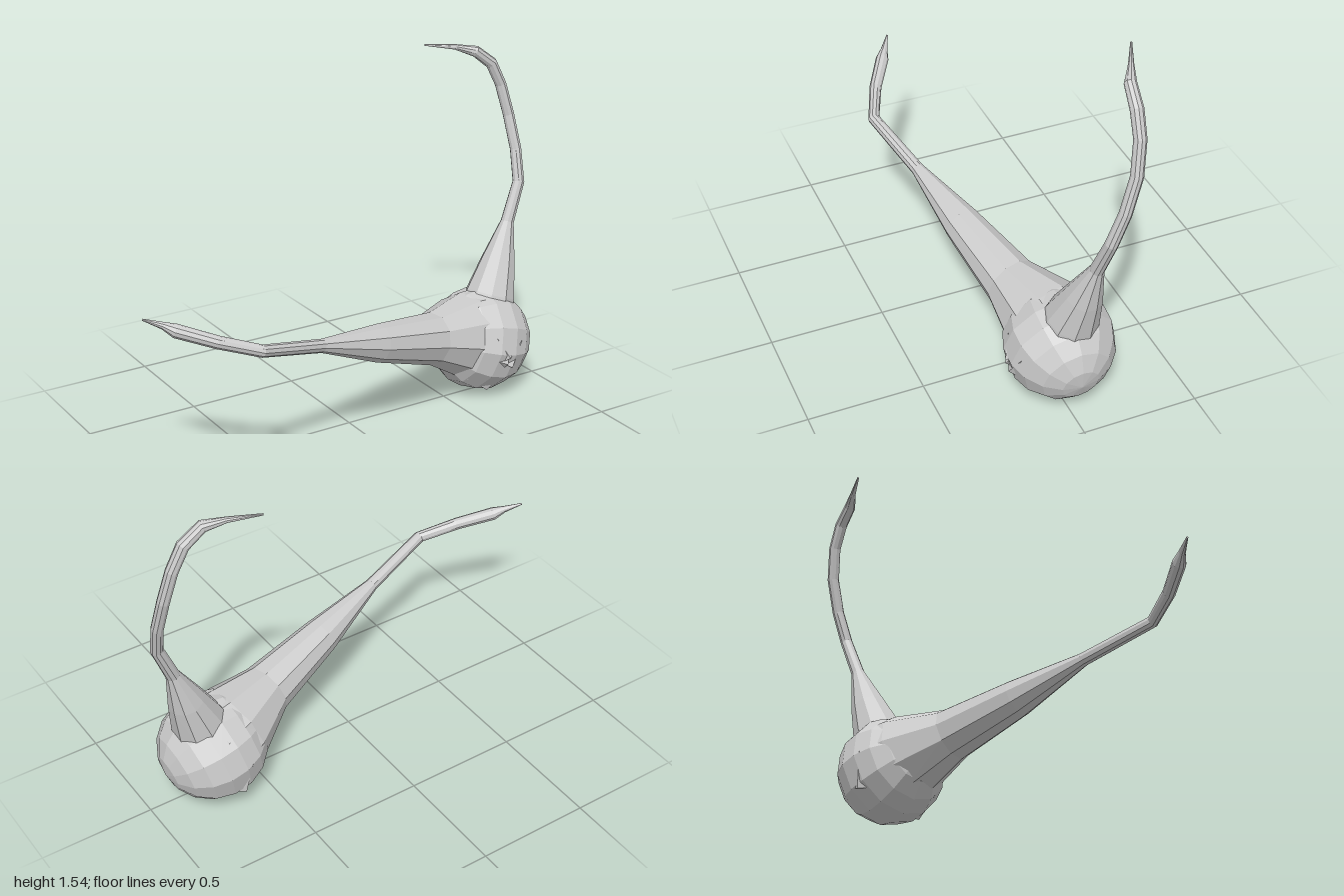
import * as THREE from 'three';

const material = new THREE.MeshStandardMaterial({ color: 0xcccccc, flatShading: true, side: THREE.DoubleSide });

// Lofts round cross-sections [x, y, z, radius] along a path, with rings square to the path.
function loft(name, rows, sides) {
  const centers = rows.map(r => new THREE.Vector3(r[0], r[1], r[2]));
  const positions = [], index = [];
  const normal = new THREE.Vector3(0, 0, 1);
  rows.forEach((row, i) => {
    const a = centers[Math.max(i - 1, 0)], b = centers[Math.min(i + 1, rows.length - 1)];
    const tangent = b.clone().sub(a).normalize();
    normal.addScaledVector(tangent, -normal.dot(tangent)).normalize();
    const binormal = tangent.clone().cross(normal);
    for (let j = 0; j < sides; j++) {
      const t = (j / sides) * Math.PI * 2;
      const p = centers[i].clone()
        .addScaledVector(normal, Math.cos(t) * row[3])
        .addScaledVector(binormal, Math.sin(t) * row[3]);
      positions.push(p.x, p.y, p.z);
      if (i < rows.length - 1) {
        const k = i * sides + j, n = i * sides + (j + 1) % sides;
        index.push(k, n, k + sides, n, n + sides, k + sides);
      }
    }
  });
  // closed tip
  const last = (rows.length - 1) * sides;
  for (let j = 1; j < sides - 1; j++) index.push(last, last + j, last + j + 1);
  const geometry = new THREE.BufferGeometry();
  geometry.setAttribute('position', new THREE.Float32BufferAttribute(positions, 3));
  geometry.setIndex(index);
  geometry.computeVertexNormals();
  const mesh = new THREE.Mesh(geometry, material);
  mesh.name = name;
  return mesh;
}

export function createModel() {
  const group = new THREE.Group();
  group.name = 'tendrilCreature';
  const center = new THREE.Vector3(0.70, 0.236, -0.02);

  // Round body, its poles lined up with the long tendril
  const body = new THREE.Mesh(new THREE.SphereGeometry(0.234, 12, 9), material);
  body.name = 'body';
  body.position.copy(center);
  body.rotation.z = Math.PI / 2 - 0.25;
  group.add(body);

  // Long tendril: thick root, thin bend and pointed end
  group.add(loft('longTendril', [
    [0.70, 0.245, -0.02, 0.222],
    [0.59, 0.280, -0.005, 0.190],
    [0.38, 0.335, 0.060, 0.116],
    [0.05, 0.422, 0.140, 0.082],
    [-0.27, 0.515, 0.218, 0.029],
    [-0.59, 0.600, 0.302, 0.026],
    [-0.75, 0.650, 0.235, 0.027],
    [-0.89, 0.700, 0.150, 0.029],
    [-0.93, 0.722, 0.125, 0.015],
    [-0.998, 0.748, 0.085, 0.004],
  ], 10));

  // Upright tendril curling over at the top
  group.add(loft('uprightTendril', [
    [0.75, 0.36, -0.035, 0.125],
    [0.775, 0.43, -0.04, 0.112],
    [0.828, 0.57, -0.06, 0.078],
    [0.888, 0.74, -0.08, 0.030],
    [0.958, 0.91, -0.10, 0.027],
    [0.970, 1.05, -0.145, 0.026],
    [0.958, 1.20, -0.19, 0.026],
    [0.925, 1.34, -0.212, 0.026],
    [0.875, 1.44, -0.218, 0.027],
    [0.795, 1.502, -0.228, 0.025],
    [0.715, 1.523, -0.270, 0.012],
    [0.595, 1.535, -0.33, 0.004],
  ], 10));

  // Shallow skin folds: flat three-sided wedges lying on the body surface
  // [direction from body centre, turn about that direction, length, width]
  const folds = [
    [[-0.10, 0.15, 1], 0.5, 0.11, 0.035],
    [[0.25, -0.05, 1], -0.6, 0.13, 0.035],
    [[-0.25, -0.10, 1], 1.2, 0.11, 0.03],
    [[-0.45, -0.75, 0.6], 1.0, 0.14, 0.03],
    [[0.75, -0.60, 0.40], 0.1, 0.10, 0.02],
    [[0.80, -0.50, -0.38], -0.1, 0.10, 0.02],
    [[-0.25, -0.25, -1], 1.4, 0.16, 0.035],
  ];
  folds.forEach(([direction, turn, length, width], i) => {
    const d = new THREE.Vector3(...direction).normalize();
    const fold = new THREE.Mesh(new THREE.ConeGeometry(width, length, 3), material);
    fold.name = `skinFold${i + 1}`;
    fold.scale.z = 0.4;
    fold.position.copy(center).addScaledVector(d, 0.219);
    fold.quaternion.setFromUnitVectors(new THREE.Vector3(0, 0, 1), d);
    fold.rotateZ(turn);
    group.add(fold);
  });
  return group;
}
